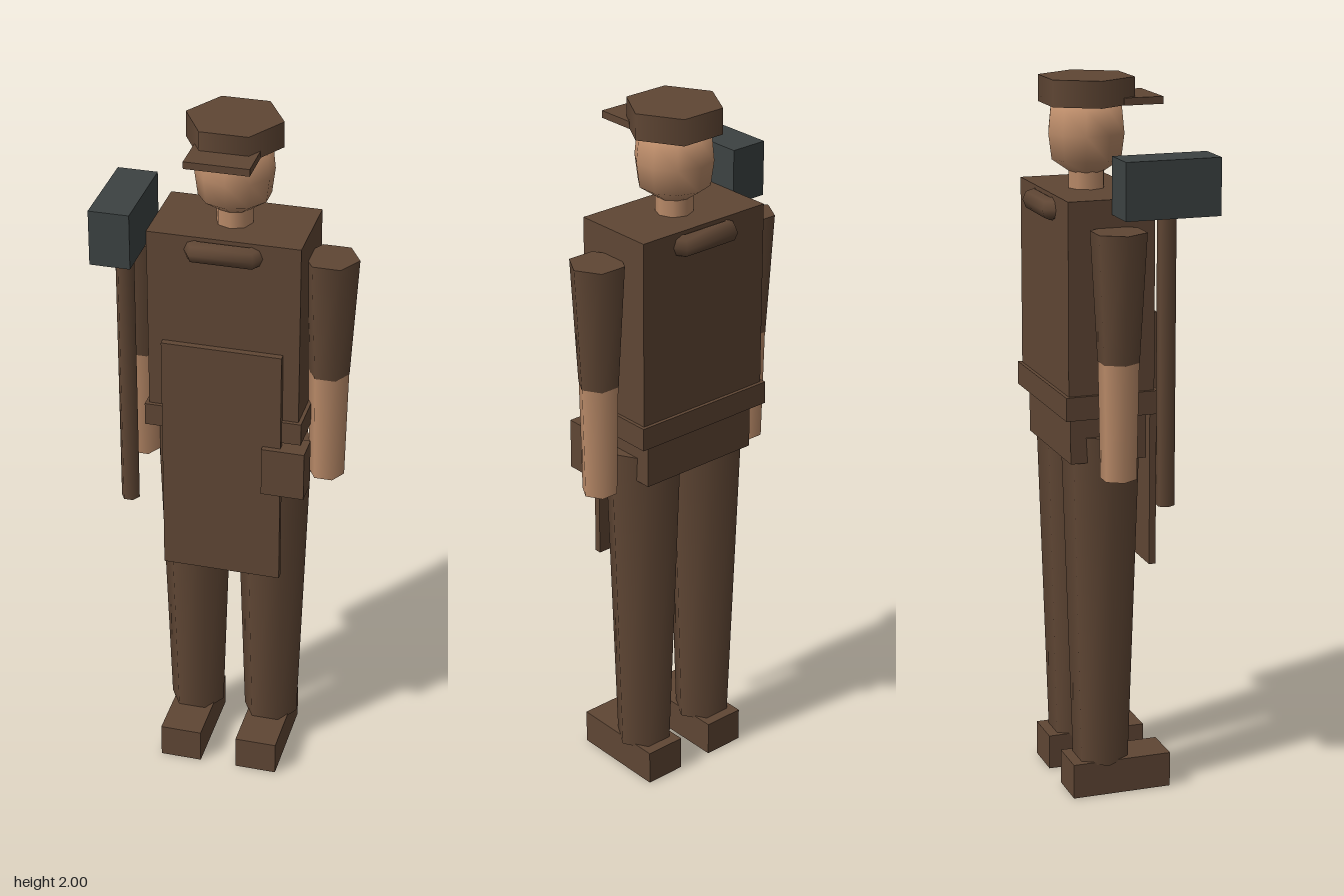
import * as THREE from 'three';

const material = (name, color) => {
  const m = new THREE.MeshStandardMaterial({ color });
  m.name = name;
  return m;
};

export function createModel() {
  const model = new THREE.Group();
  model.name = 'worker';
  const brown = material('brown cloth', 0x5f4634);
  const skin = material('skin', 0xb98a68);
  const iron = material('dark iron', 0x3c4242);
  const midZ = -0.057; // depth of the body axis

  const add = (name, geometry, mat, x, y, z) => {
    const mesh = new THREE.Mesh(geometry, mat);
    mesh.name = name;
    mesh.position.set(x, y, z);
    model.add(mesh);
    return mesh;
  };
  // box given by its limits on each axis
  const box = (name, mat, [x0, x1], [y0, y1], [z0, z1]) =>
    add(name, new THREE.BoxGeometry(x1 - x0, y1 - y0, z1 - z0), mat,
      (x0 + x1) / 2, (y0 + y1) / 2, (z0 + z1) / 2);
  // upright six-sided limb with corners pointing along x
  const hex = (name, mat, rTop, rBottom, y0, y1, x, z = midZ) =>
    add(name, new THREE.CylinderGeometry(rTop, rBottom, y1 - y0, 6, 1, false, Math.PI / 6),
      mat, x, (y0 + y1) / 2, z);

  // torso and clothing
  box('torso', brown, [-0.21, 0.21], [1.11, 1.70], [-0.178, 0.064]);
  box('belt', brown, [-0.22, 0.22], [1.11, 1.175], [-0.188, 0.075]);
  box('hips', brown, [-0.185, 0.185], [0.98, 1.11], [-0.165, 0.05]);
  box('apron', brown, [-0.168, 0.166], [0.667, 1.38], [0.067, 0.086]);
  box('pouch', brown, [0.116, 0.236], [0.953, 1.097], [0.025, 0.102]);
  const collar = add('collar', new THREE.TorusGeometry(0.146, 0.031, 8, 6), brown, 0, 1.66, midZ);
  collar.rotation.x = Math.PI / 2;

  // limbs, mirrored
  for (const [side, s] of [['left', 1], ['right', -1]]) {
    hex(`${side}Leg`, brown, 0.11, 0.079, 0.093, 1.05, s * 0.112);
    box(`${side}Shoe`, brown, [s * 0.113 - 0.06, s * 0.113 + 0.06], [0, 0.1], [-0.155, 0.131]);
    hex(`${side}Sleeve`, brown, 0.077, 0.057, 1.275, 1.625, s * 0.265);
    hex(`${side}Forearm`, skin, 0.056, 0.05, 0.953, 1.275, s * 0.265);
  }

  // head
  add('neck', new THREE.CylinderGeometry(0.051, 0.051, 0.08, 8), skin, 0, 1.73, midZ);
  const profile = [[0, 1.735], [0.045, 1.743], [0.098, 1.78], [0.107, 1.85], [0.1, 1.92], [0, 1.955]]
    .map(([r, y]) => new THREE.Vector2(r, y));
  add('head', new THREE.LatheGeometry(profile, 10), skin, 0, 0, midZ);

  // cap
  hex('cap', brown, 0.132, 0.132, 1.928, 2, 0);
  box('capVisor', brown, [-0.088, 0.088], [1.927, 1.947], [0.02, 0.131]);

  // sledgehammer at the right side
  hex('hammerHandle', brown, 0.026, 0.026, 0.867, 1.68, -0.266, 0.076);
  box('hammerHead', iron, [-0.321, -0.211], [1.66, 1.815], [-0.057, 0.208]);

  return model;
}
